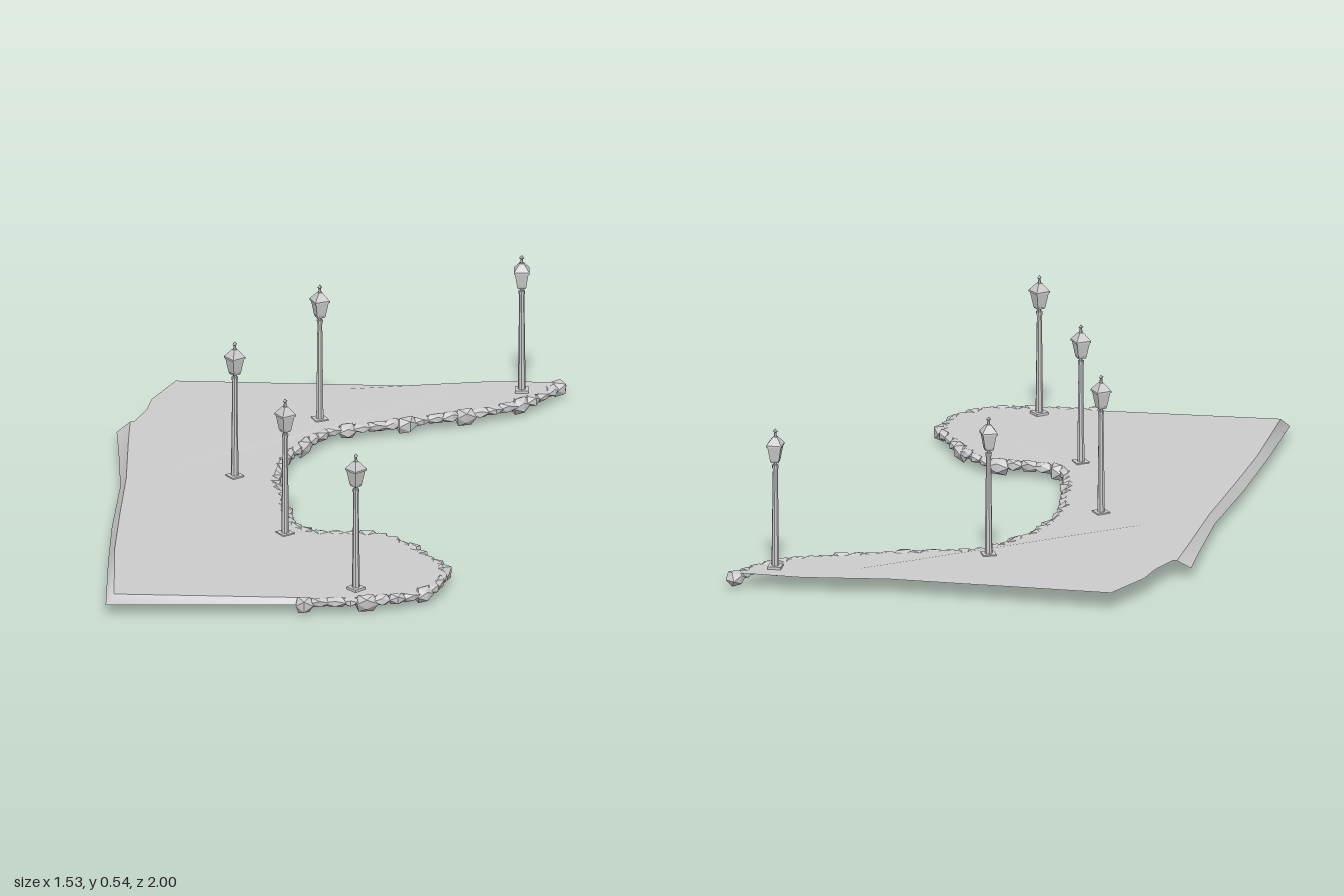
import * as THREE from 'three';

const stone = new THREE.MeshStandardMaterial({ color: 0xcccccc, flatShading: true });
const sheet = new THREE.MeshStandardMaterial({ color: 0xcccccc, side: THREE.DoubleSide });

const shorePoints = [
  [0.735, -0.965], [0.69, -0.88], [0.545, -0.76], [0.35, -0.68], [0.14, -0.605], [-0.01, -0.56],
  [-0.095, -0.46], [-0.16, -0.34], [-0.195, -0.21], [-0.205, -0.08], [-0.187, 0.05], [-0.165, 0.2],
  [-0.115, 0.34], [0, 0.375], [0.14, 0.38], [0.24, 0.475], [0.315, 0.59], [0.358, 0.67],
  [0.34, 0.81], [0.25, 0.91], [0.085, 0.95], [-0.1, 0.967],
];
const shore = new THREE.CatmullRomCurve3(shorePoints.map(([x, z]) => new THREE.Vector3(x, 0, z)));

// Banked edge along the left and front: the upper line and the lower line
const bankTop = [[-0.1, 0.955], [-0.735, 0.955], [-0.735, 0.55], [-0.72, 0.25], [-0.7, -0.08], [-0.695, -0.4], [-0.69, -0.58]];
const bankFoot = [[-0.1, 0.972], [-0.763, 0.977], [-0.757, 0.6], [-0.746, 0.28], [-0.72, -0.08], [-0.728, -0.4], [-0.735, -0.56]];
const backEdge = [[-0.677, -0.58], [-0.635, -0.69], [-0.62, -0.78], [-0.54, -0.95], [0.22, -0.93], [0.51, -0.97]];

const groundHeight = (x) => 0.062 + 0.018 * Math.max(0, -x - 0.1);

function makeRandom(seed) {
  return () => {
    seed = (seed * 16807) % 2147483647;
    return seed / 2147483647;
  };
}

function add(parent, name, geometry, material, y = 0) {
  const mesh = new THREE.Mesh(geometry, material);
  mesh.name = name;
  mesh.position.y = y;
  parent.add(mesh);
  return mesh;
}

function createGround() {
  const ground = new THREE.Group();
  ground.name = 'ground';
  const rim = shore.getSpacedPoints(70).map((p) => [p.x, p.z]);
  const outline = [...rim, ...bankTop, ...backEdge].map(([x, z]) => new THREE.Vector2(x, -z));
  const top = new THREE.ShapeGeometry(new THREE.Shape(outline)).rotateX(-Math.PI / 2);
  const pos = top.attributes.position;
  for (let i = 0; i < pos.count; i++) pos.setY(i, groundHeight(pos.getX(i)));
  top.computeVertexNormals();
  add(ground, 'pavement', top, sheet);

  // Sloping strip between the two bank lines
  const verts = [], faces = [];
  bankTop.forEach(([x, z], i) => {
    const [fx, fz] = bankFoot[i];
    verts.push(x, groundHeight(x), z, fx, 0.042, fz);
    const a = i * 2;
    if (i) faces.push(a - 2, a, a - 1, a - 1, a, a + 1);
  });
  const bank = new THREE.BufferGeometry();
  bank.setAttribute('position', new THREE.Float32BufferAttribute(verts, 3));
  bank.setIndex(faces);
  bank.computeVertexNormals();
  add(ground, 'slopingBank', bank, sheet);
  return ground;
}

// Chipped stone: each corner is pushed in or out by a rule of its position
function createRockGeometry(seed) {
  const geometry = new THREE.IcosahedronGeometry(1, 0);
  const pos = geometry.attributes.position;
  const v = new THREE.Vector3();
  for (let i = 0; i < pos.count; i++) {
    v.fromBufferAttribute(pos, i);
    const wobble = Math.sin(v.x * 5.1 + v.y * 7.3 + v.z * 9.7 + seed * 2.4);
    v.multiplyScalar(0.98 + 0.14 * wobble);
    pos.setXYZ(i, v.x, THREE.MathUtils.clamp(v.y, -0.95, 0.8), v.z);
  }
  geometry.computeVertexNormals();
  return geometry;
}

function createShoreStones() {
  const stones = new THREE.Group();
  stones.name = 'shoreStones';
  const random = makeRandom(71);
  const shapes = [0, 1, 2, 3, 4, 5].map(createRockGeometry);
  const count = 60;
  for (let i = 0; i <= count; i++) {
    const p = shore.getPointAt(i / count);
    const t = shore.getTangentAt(i / count);
    const big = i % 4 === 0;
    const rock = add(stones, big ? 'largeStone' : 'smallStone', shapes[i % shapes.length], stone);
    const high = big ? 0.031 + random() * 0.005 : 0.016 + random() * 0.007;
    rock.scale.set(0.034 + random() * 0.012, high, (big ? 0.03 : 0.021) + random() * 0.005);
    rock.position.set(p.x, big ? 0.042 : 0.049, p.z);
    rock.rotation.y = Math.atan2(-t.z, t.x) + (random() - 0.5) * 0.4;
  }
  return stones;
}

// Square section with flat sides facing the axes; widths are side lengths
const squareTaper = (topWidth, bottomWidth, height) =>
  new THREE.CylinderGeometry(topWidth / Math.SQRT2, bottomWidth / Math.SQRT2, height, 4).rotateY(Math.PI / 4);

function createLamp(x, z, turn) {
  const lamp = new THREE.Group();
  lamp.name = 'streetLamp';
  add(lamp, 'basePlate', new THREE.BoxGeometry(0.045, 0.022, 0.045), stone, 0.06);
  add(lamp, 'post', new THREE.CylinderGeometry(0.0085, 0.013, 0.35, 8), stone, 0.245);
  add(lamp, 'postCollar', new THREE.CylinderGeometry(0.011, 0.0105, 0.012, 8), stone, 0.418);
  add(lamp, 'neck', new THREE.CylinderGeometry(0.006, 0.006, 0.016, 8), stone, 0.43);
  add(lamp, 'lanternFoot', squareTaper(0.031, 0.025, 0.008), stone, 0.438);
  add(lamp, 'lanternGlass', squareTaper(0.046, 0.03, 0.05), stone, 0.467);
  add(lamp, 'roofRim', squareTaper(0.052, 0.052, 0.006), stone, 0.494);
  add(lamp, 'roof', squareTaper(0.014, 0.052, 0.026), stone, 0.51);
  add(lamp, 'finialStem', new THREE.CylinderGeometry(0.004, 0.006, 0.014, 6), stone, 0.529);
  add(lamp, 'finial', new THREE.OctahedronGeometry(0.009), stone, 0.542);
  lamp.position.set(x, 0, z);
  lamp.rotation.y = turn;
  return lamp;
}

export function createModel() {
  const model = new THREE.Group();
  model.name = 'lampLitShore';
  model.add(createGround(), createShoreStones());
  const lamps = [
    [0.616, -0.885, 0], [-0.057, -0.62, 0.4], [-0.338, -0.112, 0.65], [-0.167, 0.395, 0.6], [0.072, 0.88, 0.75],
  ];
  for (const [x, z, turn] of lamps) model.add(createLamp(x, z, turn));
  return model;
}
